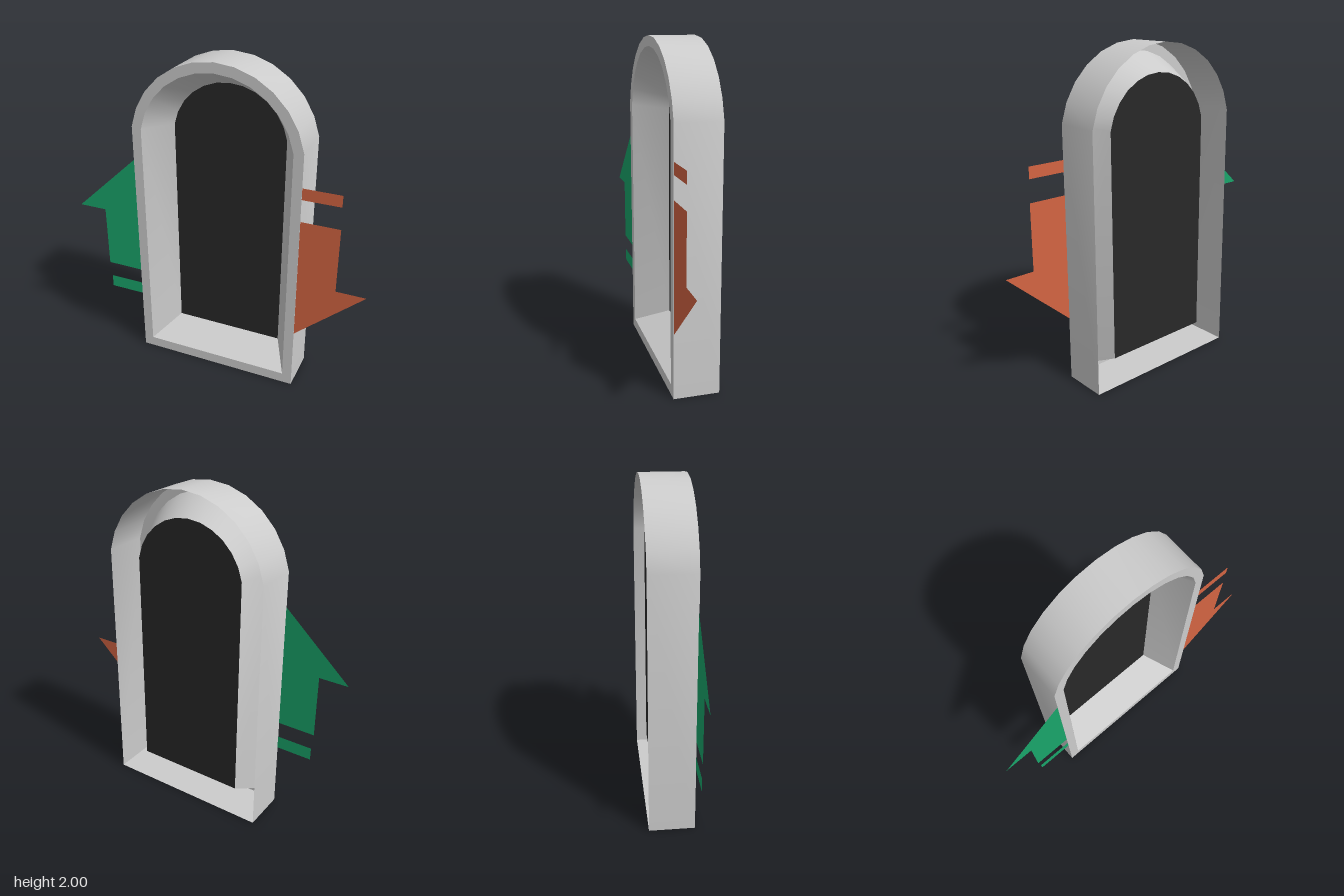
import * as THREE from 'three';
import { toCreasedNormals } from 'three/addons/utils/BufferGeometryUtils.js';

const FRONT = 0.137, BACK = -0.137, PANEL_Z = -0.08;
const ARC_Y = 1.47, ARC_STEPS = 12, ARC_START = 0.19;

// Arched outline, counter-clockwise from the bottom right corner
function archOutline(radius, halfWidth, bottom) {
  const pts = [new THREE.Vector2(halfWidth, bottom)];
  for (let i = 0; i <= ARC_STEPS; i++) {
    const a = ARC_START + (Math.PI - 2 * ARC_START) * i / ARC_STEPS;
    pts.push(new THREE.Vector2(radius * Math.cos(a), ARC_Y + radius * Math.sin(a)));
  }
  pts.push(new THREE.Vector2(-halfWidth, bottom));
  return pts;
}

// Skin between successive closed outlines placed at given depths
function loft(rings) {
  const pos = [];
  for (let r = 0; r < rings.length - 1; r++) {
    const [p, pz] = rings[r], [q, qz] = rings[r + 1];
    for (let i = 0; i < p.length; i++) {
      const j = (i + 1) % p.length;
      const a = [p[i].x, p[i].y, pz], b = [p[j].x, p[j].y, pz];
      const c = [q[j].x, q[j].y, qz], d = [q[i].x, q[i].y, qz];
      pos.push(...a, ...b, ...c, ...a, ...c, ...d);
    }
  }
  const geo = new THREE.BufferGeometry();
  geo.setAttribute('position', new THREE.Float32BufferAttribute(pos, 3));
  return toCreasedNormals(geo, 0.5);
}

function material(color) {
  const m = new THREE.MeshStandardMaterial({ color });
  m.side = THREE.DoubleSide;
  return m;
}

function flatPart(name, points, z, mat) {
  const shape = new THREE.Shape(points.map(p => new THREE.Vector2(p.x ?? p[0], p.y ?? p[1])));
  const mesh = new THREE.Mesh(new THREE.ShapeGeometry(shape), mat);
  mesh.name = name;
  mesh.position.z = z;
  return mesh;
}

export function createModel() {
  const model = new THREE.Group();
  model.name = 'archedDoorwayWithArrows';

  const outer = archOutline(0.53, 0.522, 0);
  const lip = archOutline(0.47, 0.462, 0.065);
  const inner = archOutline(0.36, 0.352, 0.152);

  // Hollow frame, open at the back: outer wall, front lip, tapered reveal
  const frame = new THREE.Mesh(
    loft([[outer, BACK], [outer, FRONT], [lip, FRONT], [inner, PANEL_Z]]),
    material(0xcccccc));
  frame.name = 'frame';
  model.add(frame);

  // Dark panel closing the reveal
  model.add(flatPart('darkPanel', inner, PANEL_Z, material(0x282828)));

  // Half arrows with a separate tail bar, flush with the front lip
  const edge = 0.52, arrowZ = FRONT - 0.002;
  const green = material(0x19a56a);
  const upArrow = new THREE.Group();
  upArrow.name = 'upArrow';
  upArrow.add(
    flatPart('upArrowHead', [[-edge, 1.36], [-0.935, 0.98], [-0.755, 0.98], [-0.755, 0.59], [-edge, 0.59]], arrowZ, green),
    flatPart('upArrowBar', [[-0.745, 0.41], [-edge, 0.41], [-edge, 0.49], [-0.745, 0.49]], arrowZ, green));

  const red = material(0xd36442);
  const downArrow = new THREE.Group();
  downArrow.name = 'downArrow';
  downArrow.add(
    flatPart('downArrowHead', [[edge, 0.395], [0.93, 0.765], [0.752, 0.765], [0.752, 1.165], [edge, 1.165]], arrowZ, red),
    flatPart('downArrowBar', [[edge, 1.3], [0.747, 1.3], [0.747, 1.37], [edge, 1.37]], arrowZ, red));

  model.add(upArrow, downArrow);
  return model;
}
